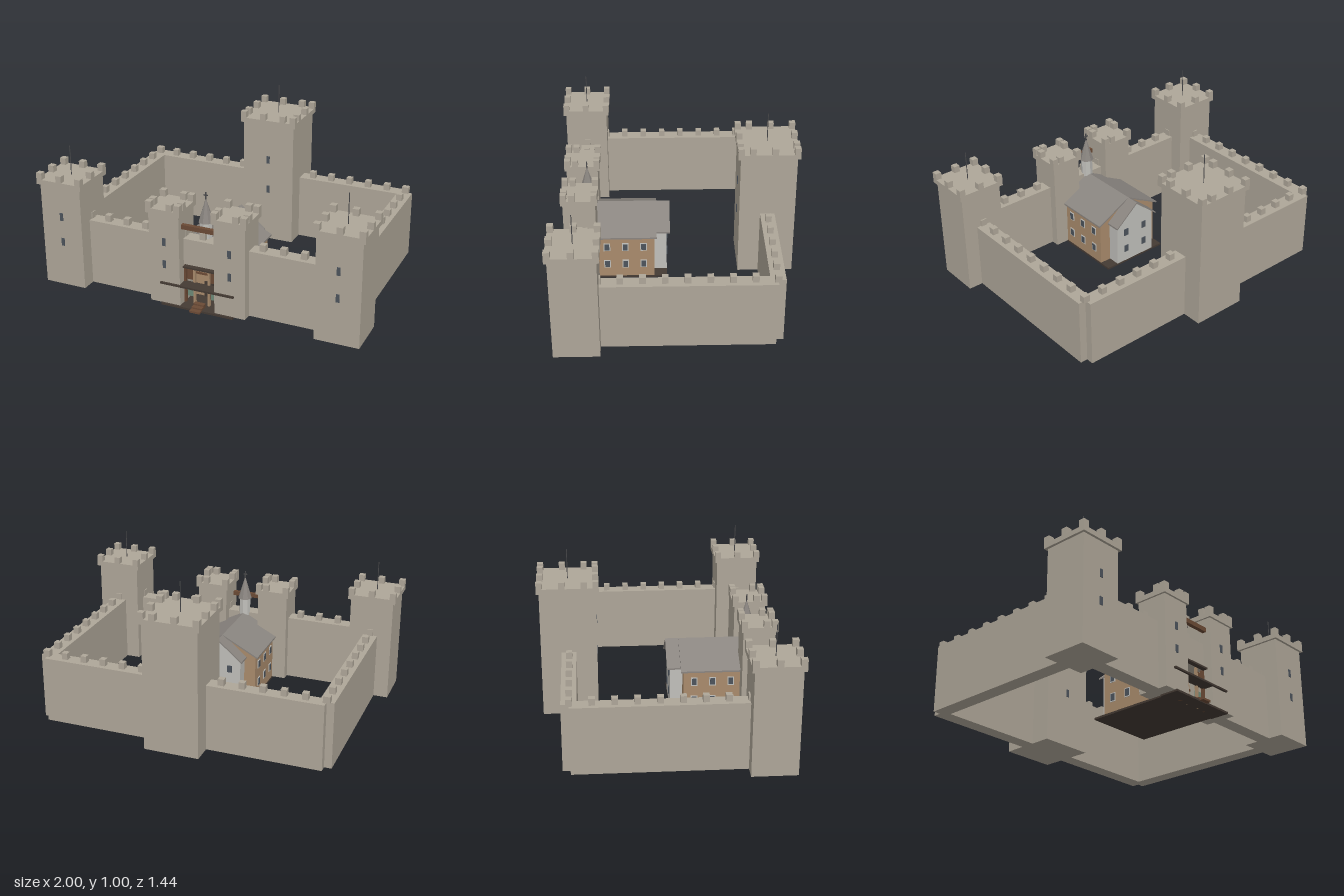
import * as THREE from 'three';

const mat = (color, side = THREE.FrontSide) => new THREE.MeshStandardMaterial({ color, side, flatShading: true });
const STONE = mat(0xaea698), ROOF = mat(0x8a8580, THREE.DoubleSide), WOOD = mat(0x6b4a35), DARKWOOD = mat(0x443a33);
const PLASTER = mat(0xc0bfba), OCHRE = mat(0xa98b6c), GLASS = mat(0x4c535c), IRON = mat(0x4a4a4c), GREEN = mat(0x6d8a78);
const MERLON = 0.036;

export function createModel() {
  const root = new THREE.Group();
  root.name = 'castle';

  const group = (name, parent = root) => {
    const g = new THREE.Group();
    g.name = name;
    parent.add(g);
    return g;
  };
  const add = (parent, name, geometry, material, x, y, z) => {
    const m = new THREE.Mesh(geometry, material);
    m.name = name;
    m.position.set(x, y, z);
    parent.add(m);
    return m;
  };
  // Box given by its min and max along each axis
  const box = (parent, name, material, x0, x1, y0, y1, z0, z1) =>
    add(parent, name, new THREE.BoxGeometry(x1 - x0, y1 - y0, z1 - z0), material,
      (x0 + x1) / 2, (y0 + y1) / 2, (z0 + z1) / 2);
  const merlon = (parent, x, y, z) =>
    add(parent, 'merlon', new THREE.BoxGeometry(MERLON, 0.04, MERLON), STONE, x, y + 0.02, z);

  // Square tower: shaft, overhanging cap, merlons around the rim, front windows, optional pole
  const tower = (name, x, z, { body, cap, top, windows, winH = 0.048, pole }) => {
    const t = group(name);
    const b = body / 2, c = cap / 2, f = c - MERLON / 2;
    box(t, 'shaft', STONE, x - b, x + b, 0.01, top - 0.03, z - b, z + b);
    box(t, 'cap', STONE, x - c, x + c, top - 0.03, top, z - c, z + c);
    const steps = [];
    for (let s = -f; s < f - 0.01; s += 0.13) steps.push(s);
    steps.push(f);
    steps.forEach((s, i) => {
      merlon(t, x + s, top, z - f);
      merlon(t, x + s, top, z + f);
      if (i === 0 || i === steps.length - 1) return;
      merlon(t, x - f, top, z + s);
      merlon(t, x + f, top, z + s);
    });
    for (const y of windows) box(t, 'window', GLASS, x - 0.01, x + 0.01, y - winH / 2, y + winH / 2, z + b - 0.01, z + b + 0.004);
    if (pole) add(t, 'flagPole', new THREE.CylinderGeometry(0.0025, 0.0025, pole[1] - pole[0], 6), IRON, x, (pole[0] + pole[1]) / 2, z);
  };
  for (const s of [-1, 1]) {
    const side = s > 0 ? 'left' : 'right';
    tower(side + 'CornerTower', s * 0.853, 0.57, { body: 0.262, cap: 0.292, top: 0.67, windows: [0.29, 0.45], pole: [0.67, 0.85] });
    tower(side + 'GateTower', s * 0.203, 0.57, { body: 0.19, cap: 0.214, top: 0.6, windows: [0.26, 0.4] });
  }
  tower('keep', 0, -0.54, { body: 0.333, cap: 0.364, top: 0.82, windows: [0.355, 0.555], pole: [0.82, 1.0] });

  // Curtain walls with a merlon about every eighth of a unit
  const walls = group('curtainWalls');
  const WT = 0.415, STEP = 0.1225;
  box(walls, 'backWall', STONE, -0.853, 0.853, 0.01, WT, -0.585, -0.498);
  for (let i = -7; i <= 7; i++) {
    if (Math.abs(i) > 1) merlon(walls, i * STEP, WT, -0.54);
    if (Math.abs(i) < 7) merlon(walls, i * STEP, WT, 0.567);
  }
  for (const s of [-1, 1]) {
    box(walls, 'sideWall', STONE, s * 0.853 - 0.044, s * 0.853 + 0.044, 0.01, WT, -0.54, 0.5);
    for (let i = 0; i < 9; i++) merlon(walls, s * 0.853, WT, -0.54 + i * 0.1235);
    const x = [s * 0.25, s * 0.8].sort((a, b) => a - b);
    box(walls, 'frontWall', STONE, x[0], x[1], 0.01, WT, 0.524, 0.61);
  }

  // Gate between the two middle towers
  const gate = group('gate');
  box(gate, 'gateLintel', STONE, -0.115, 0.115, 0.25, WT, 0.524, 0.61);
  box(gate, 'upperBeam', WOOD, -0.115, 0.115, 0.485, 0.512, 0.61, 0.635);
  box(gate, 'awning', DARKWOOD, -0.1, 0.1, 0.245, 0.255, 0.61, 0.64);
  box(gate, 'crossRail', DARKWOOD, -0.23, 0.23, 0.135, 0.146, 0.6, 0.677);
  box(gate, 'threshold', DARKWOOD, -0.225, 0.225, 0, 0.012, 0.56, 0.677);
  for (const s of [-1, 1]) {
    add(gate, 'gatePost', new THREE.BoxGeometry(0.016, 0.25, 0.02), WOOD, s * 0.105, 0.125, 0.6);
    add(gate, 'innerPost', new THREE.BoxGeometry(0.012, 0.25, 0.016), OCHRE, s * 0.045, 0.125, 0.6);
    add(gate, 'upperPanel', new THREE.BoxGeometry(0.052, 0.085, 0.01), WOOD, s * 0.077, 0.195, 0.585);
    add(gate, 'lowerPanel', new THREE.BoxGeometry(0.052, 0.07, 0.01), GREEN, s * 0.077, 0.08, 0.585);
  }
  for (let i = 0; i < 3; i++)
    box(gate, 'step', WOOD, -0.032, 0.032, 0.004, 0.034 - i * 0.009, 0.62 + i * 0.028, 0.648 + i * 0.028);

  // House in the courtyard: walls with gable ends as one extruded outline
  const house = group('house');
  const RIDGE = 0.405;
  const gabled = (name, material, half, eave, ridge, z0, z1) => {
    const shape = new THREE.Shape([[-half, 0.01], [half, 0.01], [half, eave], [0, ridge], [-half, eave]]
      .map(p => new THREE.Vector2(...p)));
    add(house, name, new THREE.ExtrudeGeometry(shape, { depth: z1 - z0, bevelEnabled: false }), material, 0, 0, z0);
  };
  // Thin pitched roof as a folded strip
  const roof = (name, half, eave, z0, z1) => {
    const t = 0.01;
    const shape = new THREE.Shape([[-half, eave], [0, RIDGE], [half, eave], [half, eave + t], [0, RIDGE + t], [-half, eave + t]]
      .map(p => new THREE.Vector2(...p)));
    add(house, name, new THREE.ExtrudeGeometry(shape, { depth: z1 - z0, bevelEnabled: false }), ROOF, 0, 0, z0);
  };
  box(house, 'floorSlab', DARKWOOD, -0.215, 0.215, 0, 0.012, 0.06, 0.575);
  gabled('mainWalls', OCHRE, 0.212, 0.298, RIDGE - 0.003, 0.135, 0.5);
  gabled('rearWing', PLASTER, 0.14, 0.29, RIDGE - 0.003, 0.06, 0.14);
  roof('mainRoof', 0.23, 0.285, 0.12, 0.52);
  roof('rearRoof', 0.155, 0.275, 0.04, 0.13);

  // House windows on two floors, door and timber bands on the front
  for (const y of [0.1, 0.22]) {
    for (const s of [-1, 1]) {
      for (const z of [0.2, 0.31, 0.42]) {
        add(house, 'windowFrame', new THREE.BoxGeometry(0.006, 0.054, 0.04), PLASTER, s * 0.213, y, z);
        add(house, 'windowPane', new THREE.BoxGeometry(0.01, 0.042, 0.028), GLASS, s * 0.213, y, z);
      }
      add(house, 'rearWindow', new THREE.BoxGeometry(0.03, 0.045, 0.008), GLASS, s * 0.07, y, 0.059);
      add(house, 'frontWindow', new THREE.BoxGeometry(0.036, 0.05, 0.008), GLASS, s * 0.13, y, 0.502);
    }
    box(house, 'timberBand', WOOD, -0.212, 0.212, y + 0.05, y + 0.062, 0.495, 0.508);
  }
  box(house, 'door', DARKWOOD, -0.03, 0.03, 0.012, 0.11, 0.495, 0.508);

  // Bell turret on the front of the ridge, with a spire and a cross
  const turret = group('bellTurret');
  const Z = 0.533;
  add(turret, 'turretBase', new THREE.CylinderGeometry(0.036, 0.036, 0.15, 8), PLASTER, 0, 0.435, Z);
  add(turret, 'spire', new THREE.ConeGeometry(0.045, 0.145, 8), ROOF, 0, 0.583, Z);
  box(turret, 'crossUpright', IRON, -0.003, 0.003, 0.645, 0.69, Z - 0.003, Z + 0.003);
  box(turret, 'crossArm', IRON, -0.013, 0.013, 0.668, 0.674, Z - 0.003, Z + 0.003);

  return root;
}
